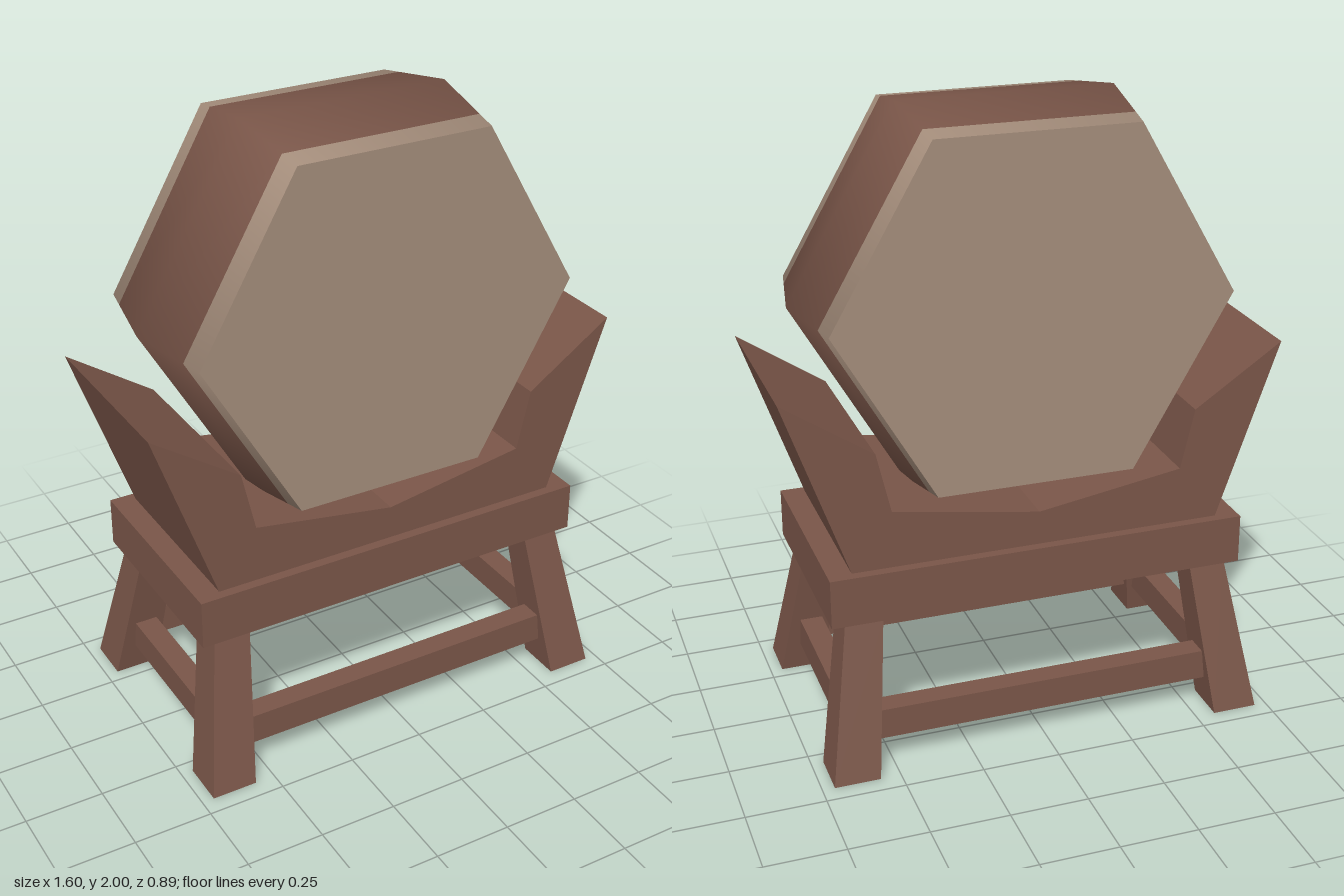
import * as THREE from 'three';

const wood = new THREE.MeshStandardMaterial({ color: 0x795548 });
wood.name = 'brown wood';
const hide = new THREE.MeshStandardMaterial({ color: 0xa38c7a });
hide.name = 'tan hide';

function add(parent, name, geometry, material, x = 0, y = 0, z = 0) {
  const mesh = new THREE.Mesh(geometry, material);
  mesh.name = name;
  mesh.position.set(x, y, z);
  parent.add(mesh);
  return mesh;
}

// Six-sided bulging drum, smooth around its side, with hide folded over both ends
function createDrum() {
  const drum = new THREE.Group();
  drum.name = 'drum';
  const half = 0.298, endRadius = 0.636, midRadius = 0.693, fold = 0.075;
  const foldRadius = endRadius + (midRadius - endRadius) * fold / half;
  const profile = [
    [endRadius, -half], [foldRadius, fold - half], [midRadius, 0],
    [foldRadius, half - fold], [endRadius, half],
  ].map(([r, h]) => new THREE.Vector2(r, h));
  const shell = new THREE.LatheGeometry(profile, 6, Math.PI / 6);
  shell.rotateX(Math.PI / 2);
  for (let side = 0; side < 6; side++) {
    [1, 0, 0, 1].forEach((m, band) => shell.addGroup((side * 4 + band) * 6, 6, m));
  }
  add(drum, 'drumShell', shell, [wood, hide]);
  add(drum, 'frontHead', new THREE.CircleGeometry(endRadius, 6), hide, 0, 0, half);
  add(drum, 'backHead', new THREE.CircleGeometry(endRadius, 6), hide, 0, 0, -half).rotation.y = Math.PI;
  drum.position.set(0, 1.4, 0.012);
  return drum;
}

// Tapered leg splayed towards one corner
function legGeometry(sx, sz) {
  const g = new THREE.BoxGeometry(1, 1, 1);
  const p = g.attributes.position;
  for (let i = 0; i < p.count; i++) {
    const top = p.getY(i) > 0;
    const [cx, wx, cz, wz] = top ? [0.57, 0.12, 0.262, 0.118] : [0.638, 0.146, 0.368, 0.15];
    p.setXYZ(i, sx * cx + p.getX(i) * wx, top ? 0.495 : 0, sz * cz + p.getZ(i) * wz);
  }
  g.computeVertexNormals();
  return g;
}

// Cradle block with raised horns
function cradleGeometry() {
  const right = [[0.6, 0.65], [0.8, 1.222], [0.515, 1.03], [0.47, 0.835]];
  const left = right.map(([x, y]) => [-x, y]).reverse();
  const outline = [...right, [0, 0.76], ...left].map(([x, y]) => new THREE.Vector2(x, y));
  const g = new THREE.ExtrudeGeometry(new THREE.Shape(outline), { depth: 0.61, bevelEnabled: false });
  return g.translate(0, 0, -0.305);
}

export function createModel() {
  const model = new THREE.Group();
  model.name = 'drumOnStand';
  model.add(createDrum());

  const stand = new THREE.Group();
  stand.name = 'stand';
  model.add(stand);
  add(stand, 'cradle', cradleGeometry(), wood);
  add(stand, 'standTop', new THREE.BoxGeometry(1.35, 0.16, 0.674), wood, 0, 0.57, 0);

  // Legs and the rails between them
  for (const s of [1, -1]) {
    for (const t of [1, -1]) {
      add(stand, `${t > 0 ? 'front' : 'back'}${s > 0 ? 'Left' : 'Right'}Leg`, legGeometry(s, t), wood);
    }
    add(stand, s > 0 ? 'frontRail' : 'backRail', new THREE.BoxGeometry(1.14, 0.1, 0.075), wood, 0, 0.15, s * 0.338);
    add(stand, s > 0 ? 'leftRail' : 'rightRail', new THREE.BoxGeometry(0.075, 0.1, 0.6), wood, s * 0.61, 0.15, 0);
  }
  return model;
}
